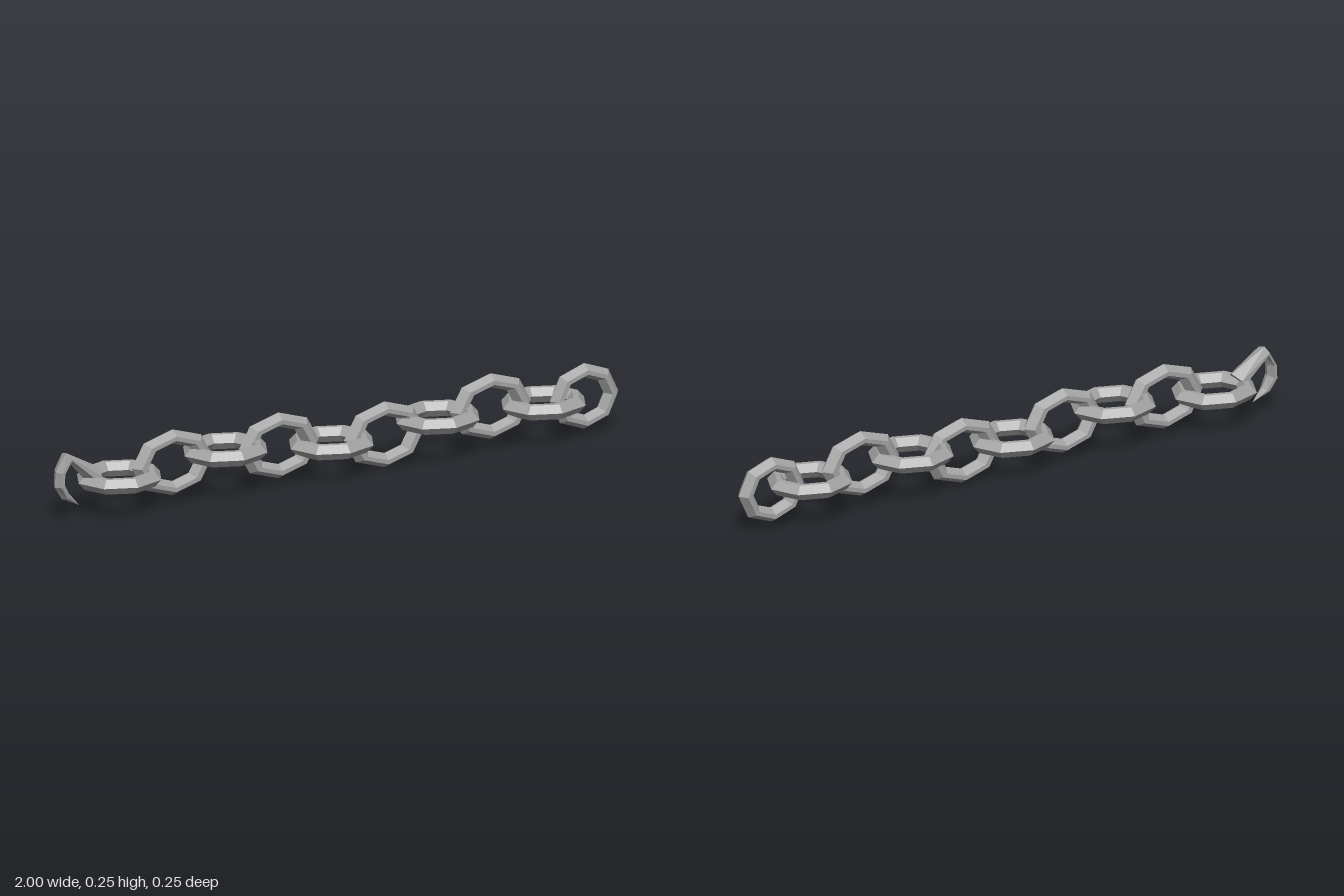
import * as THREE from 'three';

// Six-sided bar swept through sections [outerX, outerY, innerX, innerY, halfDepth]
function sweep(sections, closed) {
  const profile = [[0, 0], [0.36, 1], [0.66, 1], [1, 0], [0.66, -1], [0.36, -1]];
  const rings = sections.map(([ox, oy, ix, iy, h]) => profile.map(([t, s]) =>
    [ox + (ix - ox) * t, oy + (iy - oy) * t, s * h]));
  const pos = [];
  const tri = (a, b, c) => pos.push(...a, ...b, ...c);
  const count = closed ? rings.length : rings.length - 1;
  for (let i = 0; i < count; i++) {
    const p = rings[i], q = rings[(i + 1) % rings.length];
    for (let j = 0; j < 6; j++) {
      const k = (j + 1) % 6;
      tri(p[j], q[j], q[k]);
      tri(p[j], q[k], p[k]);
    }
  }
  if (!closed) {
    const p = rings[0];
    for (let j = 1; j < 5; j++) tri(p[0], p[j], p[j + 1]);
  }
  const geo = new THREE.BufferGeometry();
  geo.setAttribute('position', new THREE.Float32BufferAttribute(pos, 3));
  return geo;
}

// Eight-sided ring, stretched along x and slightly flattened in y
function ringGeometry(stretch, lying) {
  const outer = 0.125, inner = 0.071, sections = [];
  for (let i = 0; i < 8; i++) {
    const a = i * Math.PI / 4, c = Math.cos(a) * stretch, s = Math.sin(a);
    sections.push([c * outer, s * outer, c * inner, s * inner, 0.028]);
  }
  const geo = sweep(sections, true);
  if (lying) geo.rotateX(Math.PI / 2);
  geo.scale(1, 0.86, 1);
  geo.computeVertexNormals();
  return geo;
}

export function createModel() {
  const model = new THREE.Group();
  model.name = 'chain';
  const steel = new THREE.MeshStandardMaterial({ color: 0xa3a3a3, flatShading: true });
  steel.name = 'steel grey';
  const add = (name, geo, x, y) => {
    const mesh = new THREE.Mesh(geo, steel);
    mesh.name = name;
    mesh.position.set(x, y, 0);
    model.add(mesh);
  };

  // Alternating lying and upright links
  const heights = [0.112, 0.132, 0.144, 0.13, 0.11, 0.109, 0.136, 0.144, 0.126];
  const lying = ringGeometry(1.15, true), upright = ringGeometry(1.15, false);
  heights.forEach((y, i) => {
    const flat = i % 2 === 0;
    add(flat ? 'lyingLink' : 'uprightLink', flat ? lying : upright, -0.77 + i * 0.188, y);
  });

  // Round ring at the left end
  add('endRing', ringGeometry(0.97, false), 0.878, 0.127);

  // Tapering hook at the right end
  const hook = sweep([
    [-0.835, 0.153, -0.88, 0.108, 0.036],
    [-0.958, 0.219, -0.952, 0.192, 0.032],
    [-0.995, 0.162, -0.966, 0.158, 0.028],
    [-0.999, 0.112, -0.967, 0.122, 0.027],
    [-0.973, 0.07, -0.948, 0.085, 0.02],
    [-0.912, 0.042, -0.912, 0.042, 0]
  ], false);
  hook.computeVertexNormals();
  add('hook', hook, 0, 0);
  return model;
}
